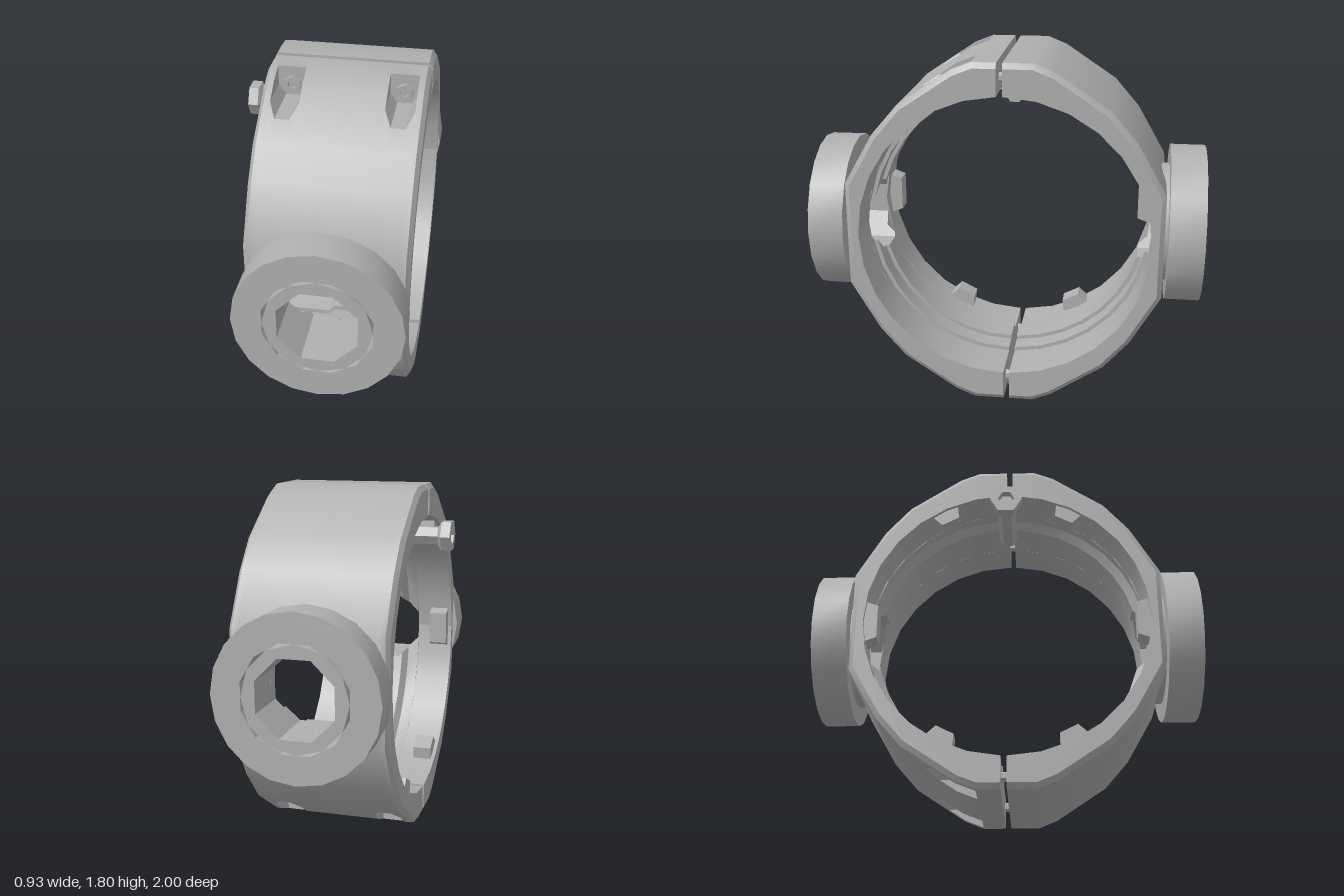
import * as THREE from 'three';
import { toCreasedNormals } from 'three/addons/utils/BufferGeometryUtils.js';

const CX = 0.05, CY = 0.9; // centre of the ring bore and trunnions

// Stations across the band: x, bore radius, half height of trunnion hole, pocket floor (0 = none), outline scale
const STATIONS = [
  [-0.34, 0.74, 0, 0, 0.97], [-0.32, 0.74, 0, 0, 1],
  [-0.29, 0.74, 0, 0, 1], [-0.29, 0.74, 0, 0.8, 1], [-0.255, 0.74, 0, 0.75, 1],
  [-0.185, 0.74, 0, 0.75, 1], [-0.15, 0.74, 0, 0.8, 1], [-0.15, 0.74, 0, 0, 1],
  [-0.14, 0.74, 0, 0, 1], [-0.14, 0.74, 0.08, 0, 1], [-0.08, 0.74, 0.14, 0, 1],
  [-0.05, 0.70, 0.17, 0, 1], [-0.03, 0.70, 0.19, 0, 1], [0.1, 0.70, 0.19, 0, 1],
  [0.1, 0.72, 0.19, 0, 1], [0.13, 0.72, 0.19, 0, 1], [0.2, 0.72, 0.12, 0, 1],
  [0.2, 0.74, 0.12, 0, 1], [0.24, 0.74, 0.08, 0, 1], [0.24, 0.74, 0, 0, 1],
  [0.26, 0.74, 0, 0, 1], [0.26, 0.74, 0, 0.8, 1], [0.295, 0.74, 0, 0.75, 1],
  [0.365, 0.74, 0, 0.75, 1], [0.4, 0.74, 0, 0.8, 1], [0.4, 0.74, 0, 0, 1],
  [0.43, 0.74, 0, 0, 1], [0.45, 0.74, 0, 0, 0.97],
];

// Closed cross-section of a quarter ring: outer outline, then the bore arc back
function section([x, r, h, floor, s], gap, pockets) {
  const cut = pockets && floor > 0;
  const f = cut ? floor : 0.9;
  const q = cut ? [0.25 + (0.86 - f) * 1.5, f] : [0.25, 0.86];
  const outer = [[gap, 0.9], [0.15, 0.9], [0.15, f], q, [0.52, 0.68], [0.65, 0.53], [0.8, 0.27], [0.8, h]]
    .map(([z, y], i) => [x, i === 7 ? y : y * s, i === 0 ? z : z * s]);
  const a0 = Math.asin(gap / r), a1 = Math.acos(h / r);
  const inner = outer.map((_, i) => {
    const a = a0 + (a1 - a0) * i / 7;
    return [x, r * Math.cos(a), r * Math.sin(a)];
  });
  return [...outer, ...inner.reverse()];
}

// Quarter ring lofted along x; side = 1 for upper, -1 for lower
function quarterRing(side, gap, pockets) {
  const loops = STATIONS.map(s => section(s, gap, pockets));
  const pos = [];
  const tri = (a, b, c) => {
    for (const p of side > 0 ? [a, b, c] : [a, c, b]) pos.push(p[0], p[1] * side, p[2]);
  };
  const quad = (a, b, c, d) => { tri(a, b, c); tri(a, c, d); };
  for (let k = 0; k < loops.length - 1; k++) {
    const A = loops[k], B = loops[k + 1];
    for (let i = 0; i < 16; i++) {
      const j = (i + 1) % 16;
      quad(A[i], A[j], B[j], B[i]);
    }
  }
  const first = loops[0], last = loops[loops.length - 1];
  for (let i = 0; i < 7; i++) {
    quad(last[i], last[i + 1], last[14 - i], last[15 - i]);
    quad(first[i], first[15 - i], first[14 - i], first[i + 1]);
  }
  const g = new THREE.BufferGeometry();
  g.setAttribute('position', new THREE.Float32BufferAttribute(pos, 3));
  return toCreasedNormals(g, 0.55);
}

function polygon(r, n, turn = 0) {
  return Array.from({ length: n }, (_, i) => {
    const a = (i + turn) / n * Math.PI * 2;
    return new THREE.Vector2(r * Math.cos(a), r * Math.sin(a));
  });
}

// Polygonal collar along z with a polygonal hole
function collar(outer, inner, z0, z1) {
  const shape = new THREE.Shape(outer);
  shape.holes.push(new THREE.Path(inner));
  const g = new THREE.ExtrudeGeometry(shape, { depth: z1 - z0, bevelEnabled: false });
  g.translate(CX, 0, z0);
  return toCreasedNormals(g, 0.4);
}

// Lug with tapered flanks on the bore, pointing at the axis
function lug(width, angle) {
  const w = width / 2;
  const shape = new THREE.Shape([
    new THREE.Vector2(-0.75, -w - 0.03), new THREE.Vector2(-0.67, -w),
    new THREE.Vector2(-0.67, w), new THREE.Vector2(-0.75, w + 0.03),
  ]);
  const g = new THREE.ExtrudeGeometry(shape, { depth: 0.1, bevelEnabled: false });
  g.rotateY(Math.PI / 2);
  g.translate(-0.32, 0, 0);
  g.rotateX(angle);
  return g;
}

// Six-sided socket screw along +y
function screw(shaftR, headR, shaftL, headL) {
  const top = shaftL + headL, socket = headR * 0.5;
  const profile = [
    [0, 0], [shaftR, 0], [shaftR, shaftL], [headR, shaftL + headL * 0.3], [headR, top],
    [socket, top], [socket, top - headL * 0.6], [0, top - headL * 0.6],
  ].map(p => new THREE.Vector2(...p));
  return toCreasedNormals(new THREE.LatheGeometry(profile, 6), 0.3);
}

export function createModel() {
  const model = new THREE.Group();
  const grey = new THREE.MeshStandardMaterial({ color: 0xb0b0b0 });
  grey.name = 'grey metal';
  const add = (parent, name, geometry) => {
    const mesh = new THREE.Mesh(geometry, grey);
    mesh.name = name;
    parent.add(mesh);
    return mesh;
  };

  // Two identical halves, the rear one turned about the ring axis
  for (const name of ['frontHalf', 'rearHalf']) {
    const half = new THREE.Group();
    half.name = name;
    half.position.y = CY;
    if (name === 'rearHalf') half.rotation.x = Math.PI;
    model.add(half);

    add(half, 'clampUpper', quarterRing(1, 0.03, true));
    add(half, 'clampLower', quarterRing(-1, 0, false));

    // Trunnion: neck, wide disc and octagonal bush
    const seat = polygon(0.27, 12, 0.5);
    add(half, 'trunnionNeck', collar(polygon(0.31, 20), seat, 0.74, 0.82));
    add(half, 'trunnionDisc', collar(polygon(0.41, 20), seat, 0.82, 1));
    add(half, 'trunnionBush', collar(polygon(0.261, 12), polygon(0.2062, 8, 0.5), 0.8, 1));

    // Bore lugs
    add(half, 'sideLug', lug(0.18, 0));
    for (const a of [-1.1, 1.1]) add(half, 'innerLug', lug(0.1, a));

    // Clamp screws crossing the joint
    for (const x of [-0.22, 0.33]) {
      const s = add(half, 'clampScrew', screw(0.025, 0.045, 0.24, 0.03));
      s.rotation.x = Math.PI / 2;
      s.position.set(x, 0.81, -0.1);
    }
  }

  // Locking screw along the ring axis
  const lock = add(model, 'lockingScrew', screw(0.05, 0.085, 0.35, 0.07));
  lock.rotation.z = Math.PI / 2;
  lock.position.set(-0.05, 1.54, 0);

  return model;
}
